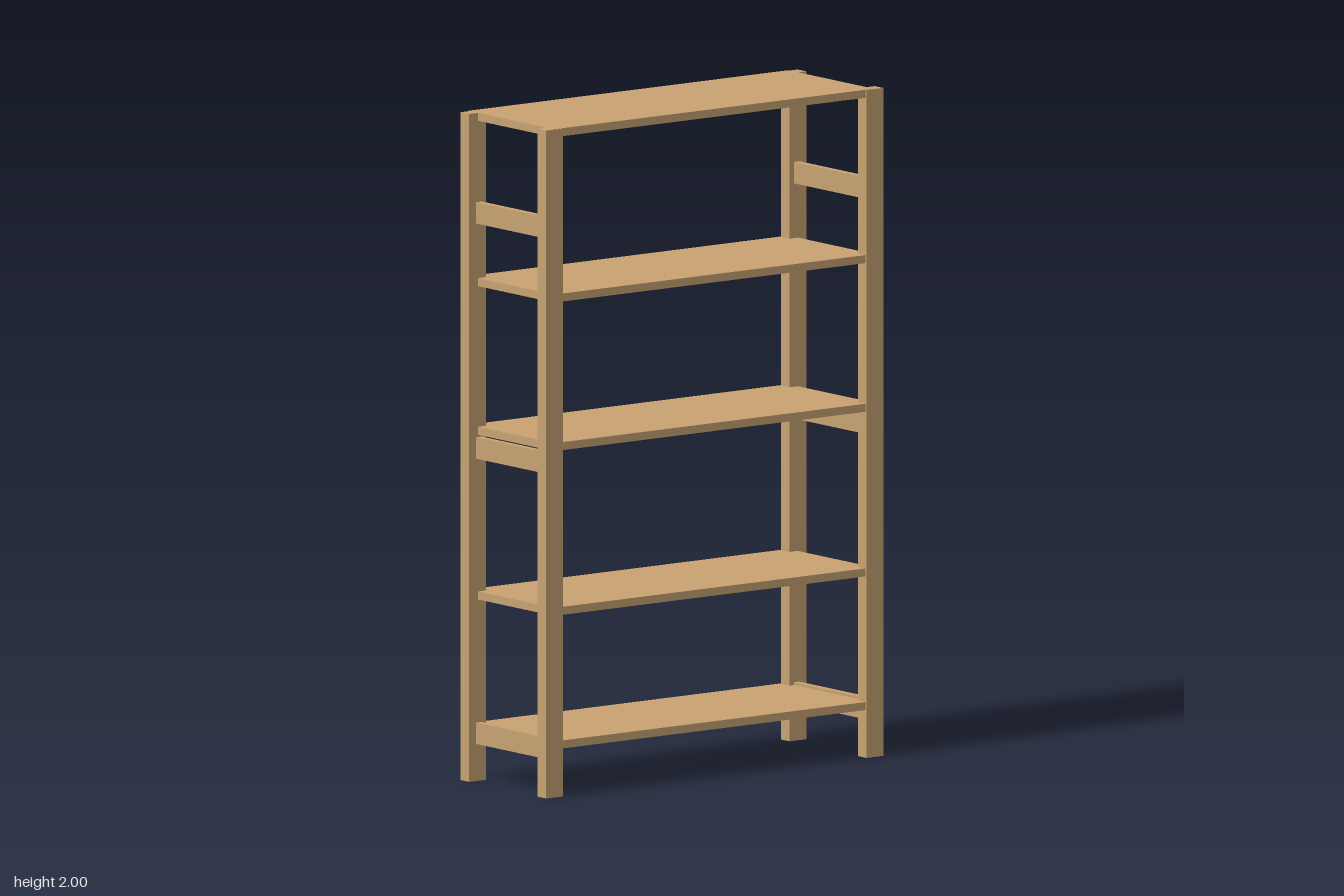
import * as THREE from 'three';

export function createModel() {
  const group = new THREE.Group();
  const wood = new THREE.MeshStandardMaterial({ color: 0xc8a272 });
  wood.name = 'pine wood';

  // Box given by its lower and upper corners
  function addBox(name, [x0, y0, z0], [x1, y1, z1]) {
    const mesh = new THREE.Mesh(new THREE.BoxGeometry(x1 - x0, y1 - y0, z1 - z0), wood);
    mesh.position.set((x0 + x1) / 2, (y0 + y1) / 2, (z0 + z1) / 2);
    mesh.name = name;
    group.add(mesh);
  }

  for (const [side, s] of [['left', 1], ['right', -1]]) {
    const span = (a, b) => (s > 0 ? [a, b] : [-b, -a]);

    // Corner posts
    const [px0, px1] = span(0.564, 0.627);
    addBox(side + 'FrontPost', [px0, 0, 0.168], [px1, 1.9995, 0.21]);
    addBox(side + 'BackPost', [px0, 0, -0.206], [px1, 1.9995, -0.164]);

    // Side rails joining front and back posts
    const [rx0, rx1] = span(0.58, 0.601);
    [0.111, 0.965, 1.669].forEach((y, i) =>
      addBox(side + 'Rail' + (i + 1), [rx0, y, -0.164], [rx1, y + 0.064, 0.168]));
  }

  // Shelves, let into the posts and standing slightly proud at the back
  [0.143, 0.543, 1.036, 1.481, 1.976].forEach((y, i) =>
    addBox('shelf' + (i + 1), [-0.595, y, -0.21], [0.595, y + 0.024, 0.206]));

  return group;
}
